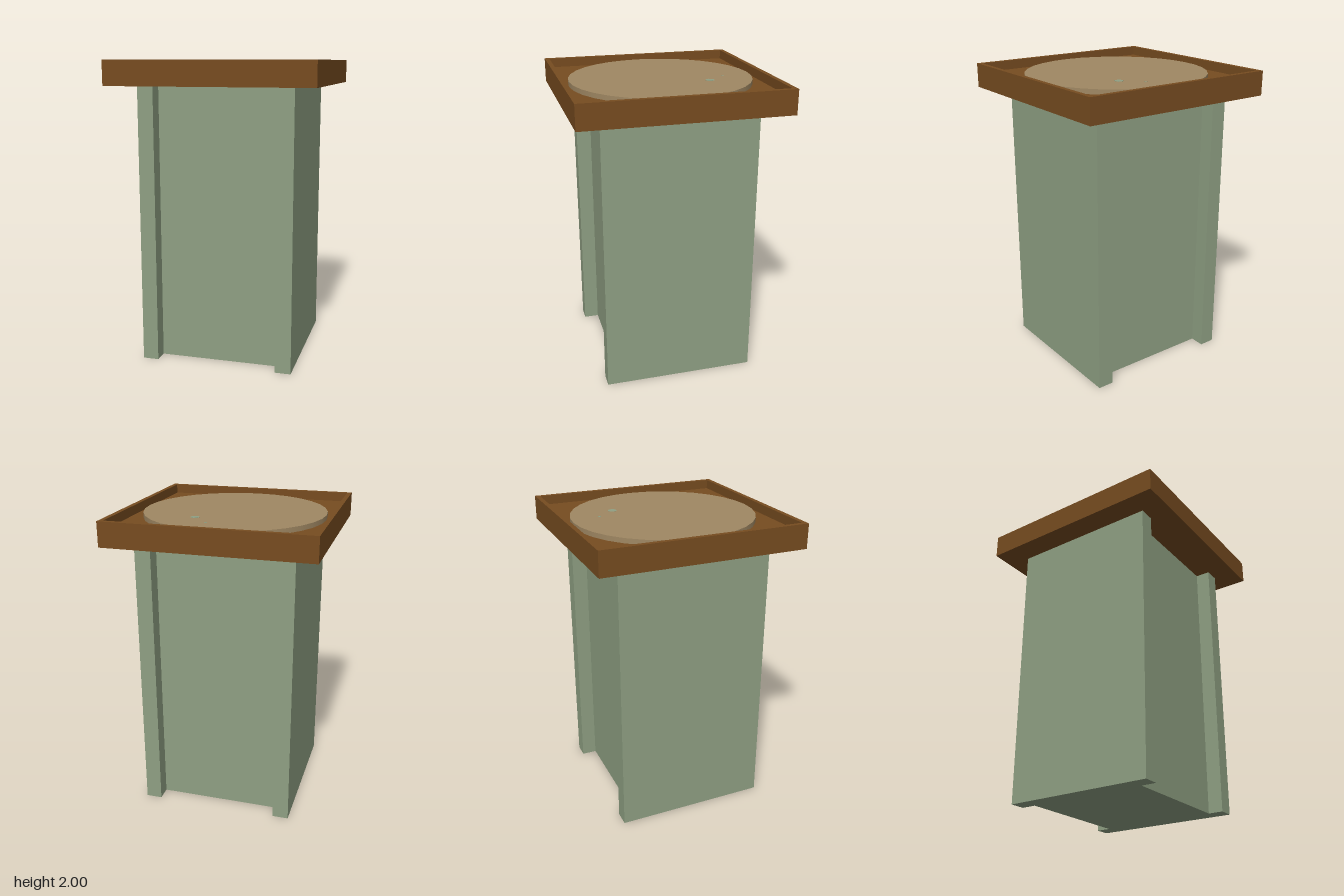
import * as THREE from 'three';

const green = new THREE.MeshStandardMaterial({ name: 'sage green', color: 0x8fa083 });
const brown = new THREE.MeshStandardMaterial({ name: 'dark wood', color: 0x774c20 });
const tan = new THREE.MeshStandardMaterial({ name: 'tan', color: 0xa08863 });

function add(group, name, geometry, material, x = 0, y = 0, z = 0) {
  const mesh = new THREE.Mesh(geometry, material);
  mesh.name = name;
  mesh.position.set(x, y, z);
  group.add(mesh);
  return mesh;
}

function square(ShapeType, h) {
  return new ShapeType([[-h, -h], [h, -h], [h, h], [-h, h]].map(([x, y]) => new THREE.Vector2(x, y)));
}

// Extrude a plan outline upwards
function upright(shape, height) {
  return new THREE.ExtrudeGeometry(shape, { depth: height, bevelEnabled: false }).rotateX(-Math.PI / 2);
}

export function createModel() {
  const model = new THREE.Group();
  model.name = 'pedestal';

  // Pedestal: H-shaped plan, side panels standing proud of the front and back
  const X = 0.51, XI = 0.405, Z = 0.505, ZI = 0.405;
  const plan = new THREE.Shape([
    [-X, -Z], [-XI, -Z], [-XI, -ZI], [XI, -ZI], [XI, -Z], [X, -Z],
    [X, Z], [XI, Z], [XI, ZI], [-XI, ZI], [-XI, Z], [-X, Z],
  ].map(([x, y]) => new THREE.Vector2(x, y)));
  add(model, 'pedestalBody', upright(plan, 1.84), green);

  // Tray: solid floor with a thin raised rim
  const floorY = 1.94;
  add(model, 'trayBase', new THREE.BoxGeometry(1.34, floorY - 1.84, 1.34), brown, 0, (1.84 + floorY) / 2, 0);
  const rim = square(THREE.Shape, 0.67);
  rim.holes.push(square(THREE.Path, 0.64));
  add(model, 'trayRim', upright(rim, 2 - floorY), brown, 0, floorY, 0);

  // Round plate lying in the tray
  add(model, 'plate', new THREE.CylinderGeometry(0.6, 0.6, 0.032, 32), tan, 0, floorY + 0.016, 0);

  // Small flecks on the plate
  for (const [x, z, r] of [[0.185, -0.28, 0.03], [0.075, -0.405, 0.01]]) {
    add(model, 'fleck', new THREE.CylinderGeometry(r, r, 0.002, 8), green, x, floorY + 0.033, z);
  }
  return model;
}
